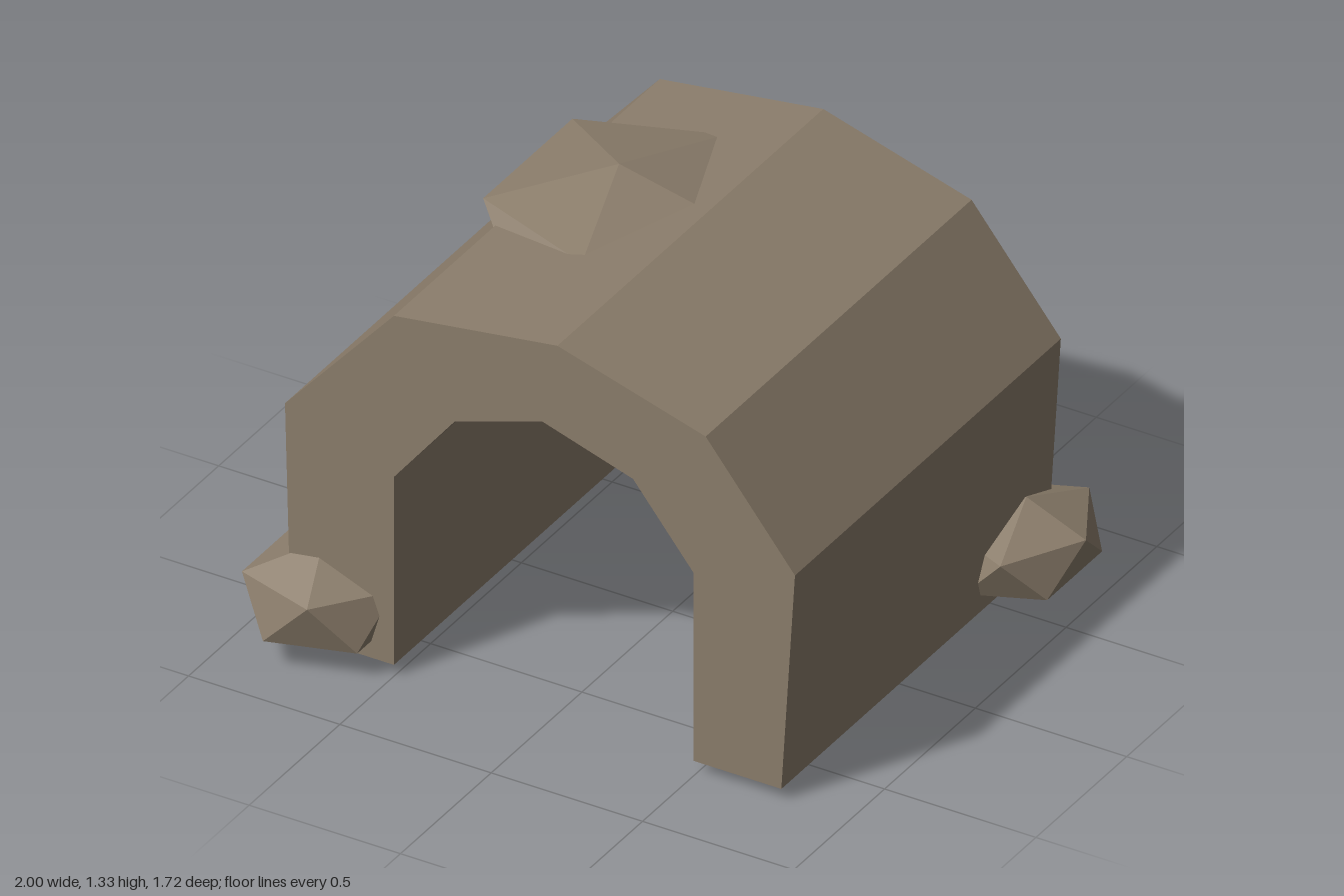
import * as THREE from 'three';

export function createModel() {
  const model = new THREE.Group();
  const stone = new THREE.MeshStandardMaterial({ color: 0x8b7d6b });
  stone.name = 'stone';
  stone.flatShading = true;

  const add = (name, geometry) => {
    const mesh = new THREE.Mesh(geometry, stone);
    mesh.name = name;
    model.add(mesh);
    return mesh;
  };

  // Uneven faceted arch, extruded from back to front
  const outline = [
    [-0.84, 0.04], [-0.5, 0.04], [-0.5, 0.67], [-0.3, 0.92], [-0.01, 1.015],
    [0.29, 0.92], [0.49, 0.67], [0.49, 0.04], [0.78, 0.04], [0.825, 0.77],
    [0.53, 1.14], [0.04, 1.285], [-0.5, 1.21], [-0.86, 0.8],
  ].map(([x, y]) => new THREE.Vector2(x, y));
  const arch = new THREE.ExtrudeGeometry(new THREE.Shape(outline), {
    depth: 1.465, bevelEnabled: false,
  });
  add('arch', arch.translate(0, 0, -0.763));

  // Squashed icosahedron standing on one corner, half sunk into the arch
  const boulder = (name, position, radii) => {
    const geometry = new THREE.IcosahedronGeometry(1, 0)
      .rotateX(-Math.atan((1 + Math.sqrt(5)) / 2))
      .rotateY(Math.PI / 2)
      .scale(...radii);
    geometry.computeVertexNormals();
    add(name, geometry).position.set(...position);
  };
  boulder('frontRightBoulder', [-0.765, 0.172, 0.65], [0.263, 0.17, 0.248]);
  boulder('backLeftBoulder', [0.8, 0.165, -0.615], [0.22, 0.147, 0.288]);
  boulder('roofBoulder', [-0.27, 1.185, -0.155], [0.417, 0.145, 0.468]);

  return model;
}
